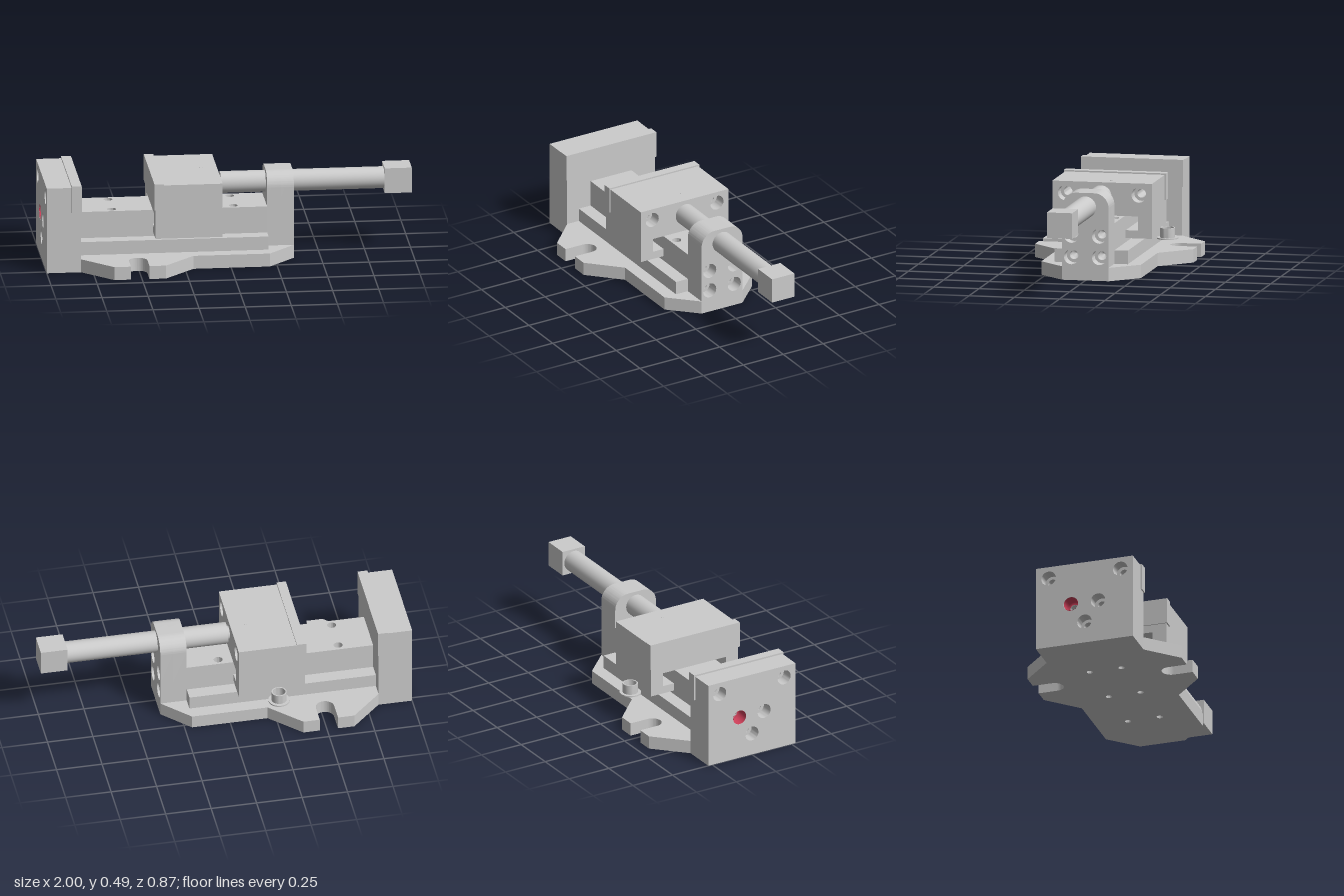
import * as THREE from 'three';
import { toCreasedNormals } from 'three/addons/utils/BufferGeometryUtils.js';

const grey = new THREE.MeshStandardMaterial({ color: 0xcccccc });
const thin = new THREE.MeshStandardMaterial({ color: 0xcccccc, side: THREE.DoubleSide });
const red = new THREE.MeshStandardMaterial({ color: 0xd0405a, side: THREE.DoubleSide });

const BIG = 0.041, SMALL = 0.024; // counterbore and through-hole radii

export function createModel() {
  const vise = new THREE.Group();
  const add = (name, geometry, material = grey, parent = vise) => {
    const mesh = new THREE.Mesh(geometry, material);
    mesh.name = name;
    parent.add(mesh);
    return mesh;
  };
  const group = (name) => {
    const g = new THREE.Group();
    g.name = name;
    vise.add(g);
    return g;
  };
  const box = (name, x0, x1, y0, y1, z0, z1, parent) =>
    add(name, new THREE.BoxGeometry(x1 - x0, y1 - y0, z1 - z0), grey, parent)
      .position.set((x0 + x1) / 2, (y0 + y1) / 2, (z0 + z1) / 2);

  const polygon = (points) => new THREE.Shape(points.map(([u, v]) => new THREE.Vector2(u, v)));
  const rect = (u0, u1, v0, v1) => polygon([[u0, v0], [u1, v0], [u1, v1], [u0, v1]]);
  const extrude = (shape, holes, radius, depth) => {
    const s = shape.clone();
    s.holes = holes.map(([u, v]) => new THREE.Path().absarc(u, v, radius, 0, Math.PI * 2, true));
    const g = new THREE.ExtrudeGeometry(s, { depth, bevelEnabled: false, curveSegments: 16 });
    return toCreasedNormals(g, 0.6);
  };
  // Section in (-z, y) extruded along x; hole centres given as [z, y]
  const alongX = (shape, holes, radius, x0, x1) =>
    extrude(shape, holes.map(([z, y]) => [-z, y]), radius, x1 - x0)
      .rotateY(Math.PI / 2).translate(x0, 0, 0);
  // Plan outline in (x, -z) extruded upwards
  const alongY = (shape, holes, radius, y0, y1) =>
    extrude(shape, holes, radius, y1 - y0).rotateX(-Math.PI / 2).translate(0, y0, 0);

  // Base plate: wings with clamping slots, chamfered nose
  const base = group('base');
  const screwHoles = [-0.63, -0.3, 0.03].flatMap((x) => [[x, 0.09], [x, -0.09]]);
  const outline = new THREE.Shape();
  outline.moveTo(-0.815, -0.275);
  outline.lineTo(-0.65, -0.437);
  outline.lineTo(-0.56, -0.437);
  outline.lineTo(-0.56, -0.33);
  outline.absarc(-0.51, -0.33, 0.05, Math.PI, 0, true);
  outline.lineTo(-0.46, -0.437);
  outline.lineTo(-0.37, -0.437);
  outline.lineTo(-0.205, -0.275);
  outline.lineTo(0.21, -0.275);
  outline.lineTo(0.355, -0.128);
  outline.lineTo(0.355, 0.128);
  outline.lineTo(0.21, 0.275);
  outline.lineTo(-0.205, 0.275);
  outline.lineTo(-0.37, 0.437);
  outline.lineTo(-0.46, 0.437);
  outline.lineTo(-0.46, 0.33);
  outline.absarc(-0.51, 0.33, 0.05, 0, Math.PI, true);
  outline.lineTo(-0.56, 0.437);
  outline.lineTo(-0.65, 0.437);
  outline.lineTo(-0.815, 0.275);
  add('basePlate', alongY(outline, screwHoles, 0.017, 0, 0.073), grey, base);

  // Stepped bed with counterbored screw holes
  const bed = rect(-0.815, 0.21, -0.128, 0.128);
  add('bedFlange', alongY(rect(-0.815, 0.21, -0.202, 0.202), screwHoles, 0.017, 0.073, 0.147), grey, base);
  add('bedRail', alongY(bed, screwHoles, 0.017, 0.147, 0.25), grey, base);
  add('bedRailTop', alongY(bed, screwHoles, 0.024, 0.25, 0.294), grey, base);

  // Fixed jaw: counterbored outer layer, plain inner layer, gripping plate
  const fixedJaw = group('fixedJaw');
  const jawBolts = [[-0.203, 0.41], [0.203, 0.41]];
  const fixedHoles = [...jawBolts, [-0.077, 0.24], [0.077, 0.24], [0, 0.125]];
  const fixedSection = rect(-0.275, 0.275, 0, 0.477);
  add('fixedJawOuter', alongX(fixedSection, fixedHoles, BIG, -1, -0.93), grey, fixedJaw);
  add('fixedJawInner', alongX(fixedSection, fixedHoles, SMALL, -0.93, -0.815), grey, fixedJaw);
  box('fixedJawPlate', -0.865, -0.811, 0.338, 0.486, -0.282, 0.282, fixedJaw);

  // Red lining of one counterbore
  const lining = [[SMALL, 0.003], [BIG - 0.001, 0.003], [BIG - 0.001, 0.07]]
    .map(([r, h]) => new THREE.Vector2(r, h));
  const redBore = add('redCounterbore', new THREE.LatheGeometry(lining, 32), red, fixedJaw);
  redBore.rotation.z = Math.PI / 2;
  redBore.position.set(-0.93, 0.24, -0.077);

  // Moving jaw: block straddling the rail with side grooves
  const movingJaw = group('movingJaw');
  const movingSection = polygon([
    [-0.275, 0.174], [-0.13, 0.174], [-0.13, 0.217], [-0.198, 0.217], [-0.198, 0.294],
    [0.198, 0.294], [0.198, 0.217], [0.13, 0.217], [0.13, 0.174], [0.275, 0.174],
    [0.275, 0.474], [-0.275, 0.474],
  ]);
  add('movingJawFront', alongX(movingSection, jawBolts, SMALL, -0.41, -0.115), grey, movingJaw);
  add('movingJawBack', alongX(movingSection, jawBolts, BIG, -0.115, -0.046), grey, movingJaw);
  box('movingJawPlate', -0.416, -0.365, 0.337, 0.482, -0.282, 0.282, movingJaw);
  add('oilHole', new THREE.CylinderGeometry(0.011, 0.011, 0.004, 16), grey, movingJaw)
    .position.set(-0.13, 0.473, -0.033);
  movingJaw.position.z = -0.004;

  // Screw support: round-shouldered post with four counterbored holes
  const support = group('screwSupport');
  const post = new THREE.Shape();
  post.moveTo(-0.128, 0);
  post.lineTo(0.128, 0);
  post.lineTo(0.128, 0.398);
  post.absarc(0.048, 0.398, 0.08, 0, Math.PI / 2, false);
  post.lineTo(-0.048, 0.478);
  post.absarc(-0.048, 0.398, 0.08, Math.PI / 2, Math.PI, false);
  post.lineTo(-0.128, 0);
  const postHoles = [-0.077, 0.077].flatMap((z) => [[z, 0.127], [z, 0.244]]);
  add('supportInner', alongX(post, postHoles, SMALL, 0.21, 0.285), grey, support);
  add('supportOuter', alongX(post, postHoles, BIG, 0.285, 0.355), grey, support);
  for (const [z, y] of postHoles) {
    const tip = add('drillTip', new THREE.ConeGeometry(SMALL, 0.02, 24, 1, true), thin, support);
    tip.rotation.z = Math.PI / 2; // apex towards the bed
    tip.position.set(0.222, y, z);
  }

  // Lead screw with slim tip and square drive head
  const screw = group('leadScrew');
  const rod = (name, r, x0, x1) => {
    const mesh = add(name, new THREE.CylinderGeometry(r, r, x1 - x0, 40), grey, screw);
    mesh.rotation.z = Math.PI / 2;
    mesh.position.set((x0 + x1) / 2, 0.4, 0);
  };
  rod('screwTip', 0.037, -0.06, -0.033);
  rod('screwShaft', 0.059, -0.033, 0.86);
  box('screwHead', 0.853, 1, 0.33, 0.47, -0.07, 0.07, screw);

  // Loose flanged bushing beside the moving jaw
  const ring = [[0.034, 0], [0.058, 0], [0.058, 0.007], [0.041, 0.007], [0.041, 0.06], [0.034, 0.06], [0.034, 0]]
    .map(([r, h]) => new THREE.Vector2(r, h));
  add('bushing', toCreasedNormals(new THREE.LatheGeometry(ring, 32), 0.6), thin)
    .position.set(-0.26, 0.145, -0.318);

  return vise;
}
